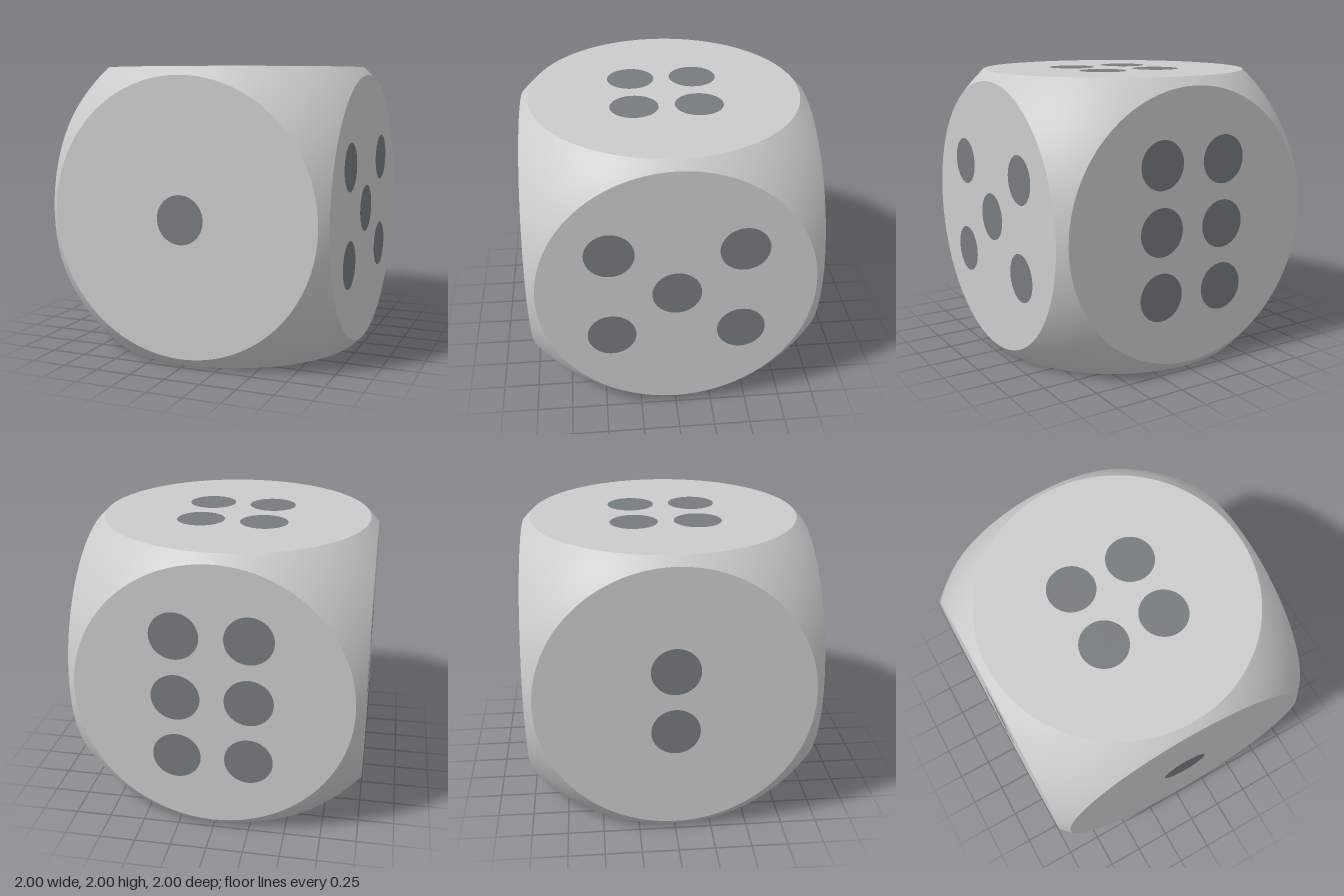
import * as THREE from 'three';

const FACE_R = 0.943;                    // radius of each flat round face
const SPHERE_R = Math.hypot(1, FACE_R);  // sphere that rounds off the cube
const PIP_R = 0.166;
const SEGMENTS = 128;

const bodyMaterial = new THREE.MeshStandardMaterial({ color: 0xcccccc });
const pipMaterial = new THREE.MeshStandardMaterial({ color: 0x767b7e });

// Each side: name, turn about x, turn about y, pip centres on the face
const h = Math.PI / 2;
const SIDES = [
  ['front', 0, 0, [[0, 0]]],
  ['back', 0, 2 * h, [-0.247, 0.247].flatMap(u => [-0.444, 0, 0.444].map(v => [u, v]))],
  ['left', 0, h, [[0, 0], [-0.444, -0.333], [-0.444, 0.333], [0.444, -0.333], [0.444, 0.333]]],
  ['right', 0, -h, [[0, -0.222], [0, 0.222]]],
  ['top', -h, 0, [[-0.222, -0.222], [-0.222, 0.222], [0.222, -0.222], [0.222, 0.222]]],
  ['bottom', h, 0, [[-0.444, 0], [0, 0], [0.444, 0]]],
];

// Flat disc with a hole for each pip
function faceGeometry(pips) {
  const shape = new THREE.Shape().absarc(0, 0, FACE_R, 0, Math.PI * 2, false);
  for (const [u, v] of pips) {
    shape.holes.push(new THREE.Path().absarc(u, v, PIP_R, 0, Math.PI * 2, true));
  }
  return new THREE.ShapeGeometry(shape, SEGMENTS).translate(0, 0, 1);
}

// Ring stretched from the round face to the square cube outline, then pushed onto the sphere
function roundingGeometry() {
  const geometry = new THREE.RingGeometry(FACE_R, 1, SEGMENTS, 12);
  const pos = geometry.attributes.position;
  const normal = geometry.attributes.normal;
  const p = new THREE.Vector3();
  for (let i = 0; i < pos.count; i++) {
    p.fromBufferAttribute(pos, i);
    const r = Math.hypot(p.x, p.y);
    const t = (r - FACE_R) / (1 - FACE_R);
    const c = p.x / r, s = p.y / r;
    const outer = 1 / Math.max(Math.abs(c), Math.abs(s));
    const reach = THREE.MathUtils.lerp(FACE_R, outer, t);
    p.set(c * reach, s * reach, 1).normalize();
    normal.setXYZ(i, p.x, p.y, p.z);
    p.multiplyScalar(SPHERE_R);
    pos.setXYZ(i, p.x, p.y, p.z);
  }
  return geometry;
}

function addMesh(parent, name, geometry, material) {
  const mesh = new THREE.Mesh(geometry, material);
  mesh.name = name;
  parent.add(mesh);
  return mesh;
}

export function createModel() {
  const die = new THREE.Group();
  die.name = 'die';
  const rounding = roundingGeometry();
  const pipDisc = new THREE.CircleGeometry(PIP_R, SEGMENTS);

  for (const [name, rx, ry, pips] of SIDES) {
    const side = new THREE.Group();
    side.name = `${name}Side`;
    side.position.y = 1;
    side.rotation.set(rx, ry, 0);
    addMesh(side, `${name}Face`, faceGeometry(pips), bodyMaterial);
    addMesh(side, `${name}RoundedEdge`, rounding, bodyMaterial);
    // Pips sit flush in the face
    pips.forEach(([u, v], i) => {
      addMesh(side, `${name}Pip${i + 1}`, pipDisc, pipMaterial).position.set(u, v, 1);
    });
    die.add(side);
  }
  return die;
}
